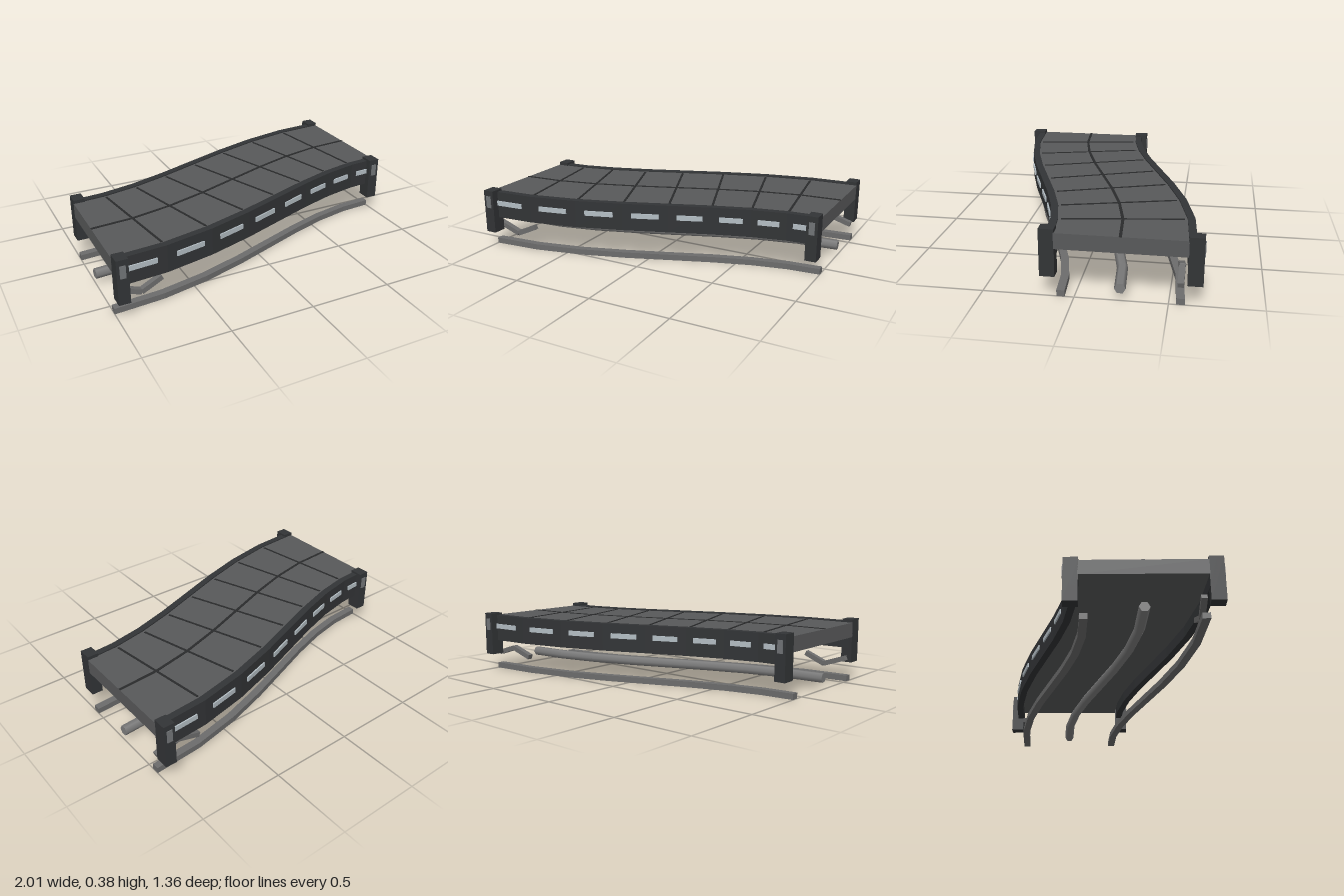
import * as THREE from 'three';

const AMP = 0.245, SEGMENTS = 8;

// Point on the S-shaped centreline at x = t, shifted sideways by an offset (+ is towards the front)
function pathPoint(t, offset, y = 0) {
  const slope = -AMP * Math.PI / 2 * Math.cos(t * Math.PI / 2);
  const len = Math.hypot(1, slope);
  return new THREE.Vector3(t - slope / len * offset, y, -AMP * Math.sin(t * Math.PI / 2) + offset / len);
}
const station = (i) => -1 + 2 * i / SEGMENTS;

// Rectangular bar swept along the curve
function sweepBar(lo, hi, y0, y1) {
  const corners = [[lo, y0], [hi, y0], [hi, y1], [lo, y1]];
  const positions = [];
  const quad = (a, b, c, d) => [a, b, c, a, c, d].forEach((p) => positions.push(p.x, p.y, p.z));
  const rings = [];
  for (let i = 0; i <= SEGMENTS; i++) rings.push(corners.map(([o, y]) => pathPoint(station(i), o, y)));
  for (let i = 0; i < SEGMENTS; i++) {
    for (let j = 0; j < 4; j++) {
      const k = (j + 1) % 4;
      quad(rings[i][j], rings[i + 1][j], rings[i + 1][k], rings[i][k]);
    }
  }
  quad(...rings[0]);
  quad(...rings[SEGMENTS].slice().reverse());
  const geometry = new THREE.BufferGeometry();
  geometry.setAttribute('position', new THREE.Float32BufferAttribute(positions, 3));
  geometry.computeVertexNormals();
  return geometry;
}

export function createModel() {
  const model = new THREE.Group();
  model.name = 'curvedWalkway';
  const paint = (color) => new THREE.MeshStandardMaterial({ color });
  const deckMat = paint(0x58595a), darkMat = paint(0x323436), seamMat = paint(0x2a2b2c);
  const lightMat = paint(0xb4bec4), panelMat = paint(0x727578), pipeMat = paint(0x7c7c7c), railMat = paint(0x6c6c6c);

  const add = (name, geometry, material) => {
    const mesh = new THREE.Mesh(geometry, material);
    mesh.name = name;
    model.add(mesh);
    return mesh;
  };
  // Turn a mesh so that its local +x runs from p to q, centred between them
  const align = (mesh, p, q) => {
    mesh.position.lerpVectors(p, q, 0.5);
    mesh.quaternion.setFromUnitVectors(new THREE.Vector3(1, 0, 0), q.clone().sub(p).normalize());
    return mesh;
  };
  const beam = (name, p, q, height, depth, material) =>
    align(add(name, new THREE.BoxGeometry(p.distanceTo(q), height, depth), material), p, q);

  // Deck with a centre seam and cross seams
  add('deck', sweepBar(-0.352, 0.352, 0.27, 0.36), deckMat);
  add('centreSeam', sweepBar(-0.008, 0.008, 0.355, 0.363), seamMat);
  for (let i = 1; i < SEGMENTS; i++) {
    beam('crossSeam', pathPoint(station(i), -0.335, 0.359), pathPoint(station(i), 0.335, 0.359), 0.008, 0.013, seamMat);
  }

  for (const side of [1, -1]) {
    const between = (a, b) => [Math.min(side * a, side * b), Math.max(side * a, side * b)];
    // Side walls and the low ground rails below them
    add('sideWall', sweepBar(...between(0.35, 0.392), 0.2, 0.367), darkMat);
    add('groundRail', sweepBar(...between(0.295, 0.34), 0, 0.035), railMat);

    // Light strips, one on each wall segment
    for (let i = 0; i < SEGMENTS; i++) {
      const p = pathPoint(station(i), side * 0.393, 0.295);
      const q = pathPoint(station(i + 1), side * 0.393, 0.295);
      beam('lightStrip', p.clone().lerp(q, 0.2), p.clone().lerp(q, 0.8), 0.03, 0.014, lightMat);
    }

    // Corner posts with a small panel on the outer face
    for (const end of [1, -1]) {
      const z = -AMP * end + side * 0.39;
      add('cornerPost', new THREE.BoxGeometry(0.068, 0.27, 0.083), darkMat).position.set(end * 0.966, 0.245, z);
      add('postPanel', new THREE.BoxGeometry(0.034, 0.075, 0.01), panelMat)
        .position.set(end * 0.966, 0.308, z + side * 0.041);
    }
  }

  // Six-sided centre pipe made of straight lengths
  for (let i = 0; i < SEGMENTS; i++) {
    const p = pathPoint(station(i), 0, 0.07), q = pathPoint(station(i + 1), 0, 0.07);
    const geometry = new THREE.CylinderGeometry(0.031, 0.031, p.distanceTo(q) + 0.004, 6).rotateZ(-Math.PI / 2);
    align(add('centrePipe', geometry, pipeMat), p, q);
  }

  // Bent brackets hanging under two opposite corners
  const bracket = (name, points) => {
    for (let i = 0; i < points.length - 1; i++) {
      const [a, b] = [points[i], points[i + 1]].map((v) => new THREE.Vector3(...v));
      beam(name, a, b, 0.03, 0.034, railMat);
    }
  };
  bracket('frontBracket', [[-0.98, 0.142, 0.56], [-0.835, 0.09, 0.56], [-0.71, 0.146, 0.55]]);
  bracket('backBracket', [[0.705, 0.102, -0.55], [0.845, 0.15, -0.56], [0.99, 0.106, -0.56]]);

  return model;
}
